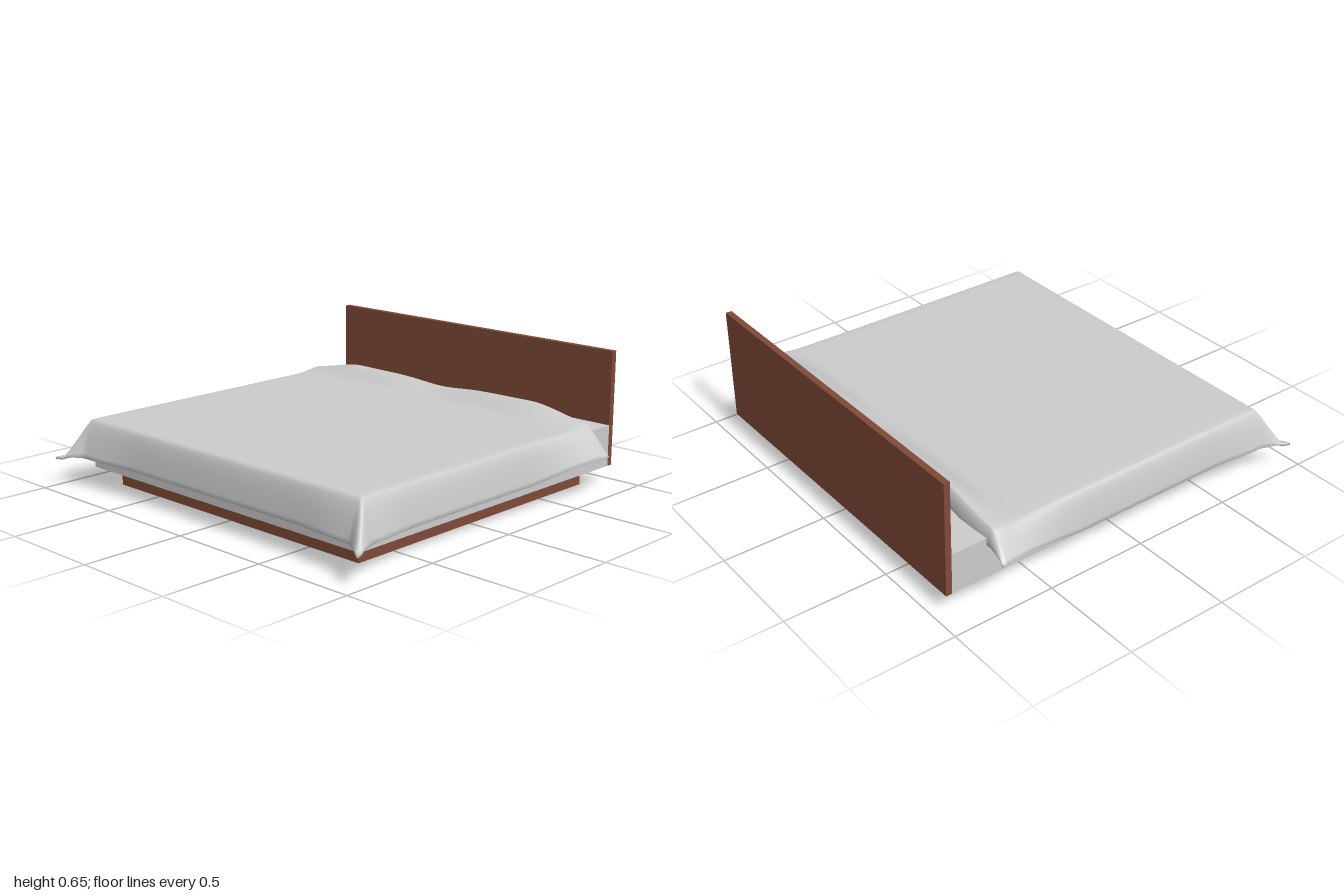
import * as THREE from 'three';

const brown = new THREE.MeshStandardMaterial({ color: 0x804a38 });
const grey = new THREE.MeshStandardMaterial({ color: 0xcccccc });
const cloth = new THREE.MeshStandardMaterial({ color: 0xcccccc, side: THREE.DoubleSide });

const { smoothstep, lerp } = THREE.MathUtils;

// Box given by its lower and upper corners
function block(name, material, [x0, y0, z0], [x1, y1, z1]) {
  const mesh = new THREE.Mesh(new THREE.BoxGeometry(x1 - x0, y1 - y0, z1 - z0), material);
  mesh.position.set((x0 + x1) / 2, (y0 + y1) / 2, (z0 + z1) / 2);
  mesh.name = name;
  return mesh;
}

const SKIRT = 12, TOP = 48, CURL = 6;   // grid segments: hanging edge, flat top, curled back edge
const COLS = SKIRT * 2 + TOP, ROWS = CURL + TOP + SKIRT;

// Point of the blanket for grid column i (left to right) and row j (back to front)
function drape(i, j, target) {
  // hanging amounts: sx over the sides, sz over the foot, curl at the head end
  const side = i < SKIRT ? -1 : 1;
  const sx = Math.max(0, SKIRT - i, i - SKIRT - TOP) / SKIRT;
  const sz = Math.max(0, j - CURL - TOP) / SKIRT;
  const curl = Math.max(0, CURL - j) / CURL;
  const tx = lerp(-0.865, 0.87, THREE.MathUtils.clamp((i - SKIRT) / TOP, 0, 1));
  const tz = lerp(-0.715, 0.785, THREE.MathUtils.clamp((j - CURL) / TOP, 0, 1));
  const s = Math.min(1, Math.pow(sx ** 4 + sz ** 4, 0.25));

  // corners flare outwards, gradually along the neighbouring hems
  const ax = Math.abs(tx);
  const frontFlare = 0.3 * smoothstep(tz, 0.5, 0.785) + 0.7 * sz;
  const backFlare = Math.pow(smoothstep(-tz, 0.1, 0.9) / smoothstep(0.715, 0.1, 0.9), 1.4);
  const sideFlare = 0.25 * smoothstep(ax, 0.5, 0.87) + 0.75 * sx;
  const x = tx + side * (0.055 * sx ** 0.6 + 0.07 * sx ** 1.3 * Math.max(frontFlare, backFlare));
  let z = tz + 0.052 * sz ** 0.6 + 0.1 * sz ** 1.3 * sideFlare;

  // hem rises towards the head end
  const lift = (side < 0 ? 0.085 : 0.05) * smoothstep(-tz, 0.2, 0.72);
  let y = 0.325 - (0.182 - lift) * s ** 1.4;

  // puffed ridge along the head end with a dip in the middle
  const puff = (0.066 - 0.02 * Math.exp(-((tx / 0.18) ** 2))) * (1 - 0.8 * smoothstep(ax, 0.55, 0.92));
  const ridge = smoothstep(-tz, 0.54, 0.72) ** 1.5;
  y += puff * ridge * (1 - sx);
  y -= 0.085 * curl ** 1.5 * (1 - sx);
  z -= 0.025 * Math.sin(curl * Math.PI / 2) + 0.004 * ridge * Math.cos(tx * 9) + 0.008 * sx * ridge;
  return target.set(x, y, z);
}

// Draped sheet: outer layer, inner layer and a strip round the rim
function blanketGeometry(thickness) {
  const plane = new THREE.PlaneGeometry(1, 1, COLS, ROWS);
  const pos = plane.attributes.position;
  const p = new THREE.Vector3();
  const stride = COLS + 1, count = pos.count;
  for (let k = 0; k < count; k++) {
    drape(k % stride, Math.floor(k / stride), p);
    pos.setXYZ(k, p.x, p.y, p.z);
  }
  plane.computeVertexNormals();
  const nor = plane.attributes.normal;
  const points = [...pos.array];
  for (let k = 0; k < count; k++) {
    points.push(
      pos.getX(k) - nor.getX(k) * thickness,
      pos.getY(k) - nor.getY(k) * thickness,
      pos.getZ(k) - nor.getZ(k) * thickness);
  }
  const outer = [...plane.index.array];
  const index = [...outer];
  for (let k = 0; k < outer.length; k += 3) {
    index.push(outer[k] + count, outer[k + 2] + count, outer[k + 1] + count);
  }
  const rim = [];
  for (let i = 0; i < COLS; i++) rim.push(i);
  for (let j = 0; j < ROWS; j++) rim.push(j * stride + COLS);
  for (let i = COLS; i > 0; i--) rim.push(ROWS * stride + i);
  for (let j = ROWS; j > 0; j--) rim.push(j * stride);
  rim.forEach((a, k) => {
    const b = rim[(k + 1) % rim.length];
    index.push(a, b, a + count, b, b + count, a + count);
  });
  const geometry = new THREE.BufferGeometry();
  geometry.setAttribute('position', new THREE.Float32BufferAttribute(points, 3));
  geometry.setIndex(index);
  geometry.computeVertexNormals();
  return geometry;
}

export function createModel() {
  const bed = new THREE.Group();
  bed.name = 'bed';

  // Plinth, with a thin rail reaching back to the headboard
  bed.add(block('base', brown, [-0.775, 0, -0.82], [0.785, 0.09, 0.71]));
  bed.add(block('backRail', brown, [-0.775, 0.087, -0.915], [0.785, 0.093, -0.82]));

  bed.add(block('mattress', grey, [-0.865, 0.09, -0.915], [0.875, 0.29, 0.8]));
  bed.add(block('headboard', brown, [-0.865, 0.09, -0.945], [0.875, 0.648, -0.915]));

  const blanket = new THREE.Mesh(blanketGeometry(0.012), cloth);
  blanket.name = 'blanket';
  bed.add(blanket);

  return bed;
}
